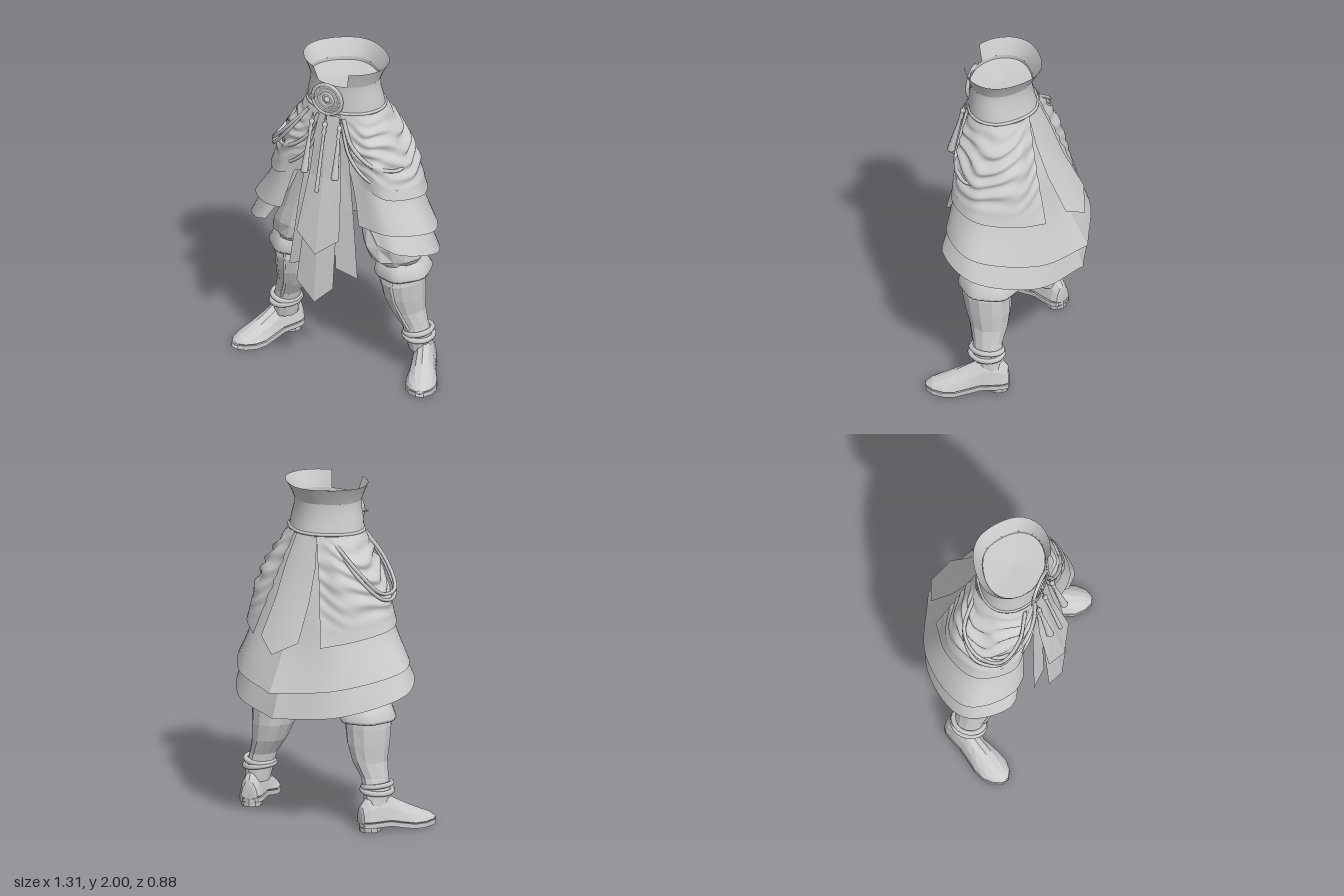
import * as THREE from 'three';

const smooth = new THREE.MeshStandardMaterial({ color: 0xcccccc, side: THREE.DoubleSide });
const faceted = new THREE.MeshStandardMaterial({ color: 0xcccccc, side: THREE.DoubleSide, flatShading: true });
const V = (x, y, z) => new THREE.Vector3(x, y, z);

function add(parent, name, geometry, material = smooth) {
  const mesh = new THREE.Mesh(geometry, material);
  mesh.name = name;
  parent.add(mesh);
  return mesh;
}

// Skin a grid of points (rows of equal length); closed rows wrap round
function skin(rows, closed = false) {
  const n = rows[0].length, index = [];
  for (let j = 0; j < rows.length - 1; j++)
    for (let i = 0; i < (closed ? n : n - 1); i++) {
      const a = j * n + i, b = j * n + (i + 1) % n;
      index.push(a, b, a + n, b, b + n, a + n);
    }
  const g = new THREE.BufferGeometry().setFromPoints(rows.flat());
  g.setIndex(index);
  g.computeVertexNormals();
  return g;
}

// Smooth cloth through rails that run from front to back, listed top to bottom;
// side mirrors and widens, start trims the front edge
function cloth(rails, side, start, nu, nv, fold = () => 0) {
  const curves = rails.map(r => new THREE.CatmullRomCurve3(r.map(([x, y, z]) => V(x * side, y, z))));
  const cols = [];
  for (let i = 0; i <= nu; i++) {
    const u = start + (1 - start) * i / nu;
    const down = new THREE.CatmullRomCurve3(curves.map(c => c.getPoint(u)));
    cols.push(Array.from({ length: nv + 1 }, (_, j) => {
      const v = j / nv, p = down.getPoint(v);
      return p.addScaledVector(V(p.x, 0, p.z - 0.09).normalize(), fold(u, v));
    }));
  }
  return skin(cols);
}

// Stack of elliptical rings [cx, y, cz, rx, rz] with an optional radial wave
function rings(list, n, wave = () => 0) {
  return skin(list.map(([cx, y, cz, rx, rz], j) => Array.from({ length: n }, (_, i) => {
    const a = i / n * Math.PI * 2, k = 1 + wave(a, j);
    return V(cx + rx * k * Math.sin(a), y, cz + rz * k * Math.cos(a));
  })), true);
}

const strip = rows => skin(rows.map(r => r.map(p => V(...p))));
const rope = (pts, r, side = 1) => new THREE.TubeGeometry(
  new THREE.CatmullRomCurve3(pts.map(([x, y, z]) => V(x * side, y, z))), 32, r, 6);

// Waist cross-section: rounded at the front, slightly pointed at the back
function waistRow([y, rx, front, back], from, to, n) {
  const mid = (front + back) / 2 + 0.01;
  return Array.from({ length: n + 1 }, (_, i) => {
    const a = from + (to - from) * i / n, c = Math.cos(a);
    const z = c > 0 ? mid + (front - mid) * c : mid + (mid - back) * (0.86 * c - 0.14 * Math.pow(-c, 6));
    return V(0.006 + rx * Math.sin(a), y, z);
  });
}

function buildWaist(root) {
  const g = new THREE.Group();
  g.name = 'waist';
  root.add(g);
  const T = Math.PI * 2, gap = 0.46;
  const low = [[1.71, 0.24, 0.285, -0.115], [1.78, 0.232, 0.282, -0.095], [1.85, 0.214, 0.276, -0.082], [1.9, 0.214, 0.28, -0.085]];
  const high = [[1.9, 0.214, 0.28, -0.085], [1.95, 0.234, 0.295, -0.11], [2, 0.262, 0.31, -0.14]];
  add(g, 'belt', skin(low.map(r => waistRow(r, 0, T, 36))));
  add(g, 'openCollar', skin(high.map(r => waistRow(r, gap, T - gap, 32))));
  const rim = waistRow([1.88, 0.212, 0.277, -0.082], 0, T, 36);
  add(g, 'innerCap', skin([rim, rim.map(() => V(0, 1.865, 0.1))]), faceted);
  const edge = waistRow([1.725, 0.239, 0.284, -0.112], 0, T, 36).slice(0, -1);
  add(g, 'beltTrim', new THREE.TubeGeometry(new THREE.CatmullRomCurve3(edge, true), 60, 0.01, 6, true));

  // Round buckle with a pin
  const buckle = new THREE.Group();
  buckle.name = 'buckle';
  buckle.position.set(-0.02, 1.8, 0.285);
  g.add(buckle);
  for (const [R, r] of [[0.095, 0.012], [0.068, 0.008], [0.04, 0.012]])
    add(buckle, 'buckleRing', new THREE.TorusGeometry(R, r, 6, 28));
  add(buckle, 'bucklePlate', new THREE.CylinderGeometry(0.09, 0.09, 0.008, 28).rotateX(Math.PI / 2));
  add(buckle, 'buckleStud', new THREE.SphereGeometry(0.02, 10, 8));
  add(buckle, 'bucklePin', new THREE.ConeGeometry(0.02, 0.06, 6).rotateZ(Math.PI / 2).translate(-0.11, 0, 0));
}

function buildSkirt(root) {
  const g = new THREE.Group();
  g.name = 'skirt';
  root.add(g);
  const waist = [[0.06, 1.71, 0.27], [0.17, 1.71, 0.22], [0.225, 1.71, 0.085], [0.165, 1.71, -0.05], [0, 1.71, -0.105]];
  const drape = [
    [[0.06, 1.71, 0.275], [0.17, 1.71, 0.23], [0.235, 1.72, 0.09], [0.175, 1.72, -0.05], [0.08, 1.72, -0.105]],
    [[0.13, 1.5, 0.285], [0.27, 1.48, 0.265], [0.39, 1.45, 0.08], [0.32, 1.45, -0.12], [0.16, 1.45, -0.18]],
    [[0.2, 1.28, 0.28], [0.36, 1.22, 0.27], [0.49, 1.19, 0.08], [0.41, 1.15, -0.14], [0.25, 1.11, -0.28]]];
  const middle = [waist,
    [[0.12, 1.4, 0.28], [0.27, 1.38, 0.25], [0.39, 1.36, 0.07], [0.28, 1.36, -0.13], [0, 1.36, -0.225]],
    [[0.17, 1.18, 0.285], [0.34, 1.17, 0.27], [0.46, 1.15, 0.07], [0.33, 1.12, -0.2], [0, 1.09, -0.305]],
    [[0.2, 1.02, 0.3], [0.4, 1, 0.29], [0.57, 0.96, 0.07], [0.37, 0.88, -0.28], [0, 0.83, -0.44]]];
  const lower = [waist.map(([x, y, z]) => [x * 0.95, y, z * 0.95]),
    [[0.16, 1.2, 0.26], [0.32, 1.18, 0.25], [0.44, 1.15, 0.07], [0.3, 1.12, -0.17], [0, 1.1, -0.27]],
    [[0.33, 0.93, 0.31], [0.46, 0.89, 0.29], [0.59, 0.82, 0.06], [0.38, 0.72, -0.27], [0, 0.67, -0.41]]];
  const folds = (u, v) => {
    const fade = Math.sin(Math.PI * Math.min(1, v * 1.1)) * (0.35 + 0.65 * Math.sin(Math.PI * u));
    const s = Math.sin(2 * Math.PI * (6.2 * v - 1.3 * Math.sin(Math.PI * u) + 0.25 * Math.sin(15 * u + 7 * v)));
    return fade * (0.014 * s + 0.009 * Math.sin(23 * u + 13 * v) * Math.sin(17 * v - 9 * u));
  };
  for (const s of [1, -1]) {
    const wide = s > 0 ? 0.975 : -1.045, start = s > 0 ? 0 : 0.12;
    add(g, 'gatheredDrape', cloth(drape, s, 0, 36, 48, folds));
    add(g, 'middleTier', cloth(middle, wide, start, 28, 18));
    add(g, 'lowerTier', cloth(lower, wide, start, 28, 14));
    // Rolled swags sweeping from the buckle and tucking in at the hip
    add(g, 'upperSwag', rope([[0.08, 1.69, 0.275], [0.15, 1.53, 0.295], [0.28, 1.42, 0.275], [0.39, 1.38, 0.17], [0.38, 1.4, 0.06]], 0.012, s));
    add(g, 'lowerSwag', rope([[0.07, 1.66, 0.275], [0.13, 1.46, 0.29], [0.25, 1.33, 0.285], [0.4, 1.27, 0.2], [0.42, 1.27, 0.08]], 0.01, s));
  }
  // Loose cord loops on one hip
  for (const d of [0, 0.035])
    add(g, 'hipCord', rope([[-0.16, 1.69, 0.25], [-0.3, 1.53 - d, 0.27], [-0.42, 1.4 - d, 0.2], [-0.43 - d / 2, 1.4 - d, 0.06], [-0.36, 1.53 - d, -0.05], [-0.17, 1.69, -0.06]], 0.011));

  // Layered hanging panels at the front
  add(g, 'frontPanel', strip([
    [[-0.08, 1.7, 0.28], [-0.02, 1.7, 0.29], [0.06, 1.7, 0.28]],
    [[-0.12, 1.3, 0.32], [-0.02, 1.3, 0.34], [0.09, 1.3, 0.32]],
    [[-0.16, 0.95, 0.4], [-0.02, 0.84, 0.435], [0.12, 0.95, 0.4]]]), faceted);
  add(g, 'longPanel', strip([
    [[-0.08, 1.6, 0.27], [-0.02, 1.6, 0.28], [0.05, 1.6, 0.27]],
    [[-0.13, 1, 0.36], [-0.03, 1, 0.38], [0.08, 1, 0.36]],
    [[-0.16, 0.62, 0.4], [-0.03, 0.515, 0.425], [0.08, 0.62, 0.4]]]), faceted);
  for (const [a, b, y] of [[-0.24, -0.12, 0.68], [0.21, 0.07, 0.69]])
    add(g, 'sideStrip', strip([
      [[a * 0.5, 1.6, 0.275], [b * 0.2, 1.6, 0.275]],
      [[a * 0.8, 1.1, 0.315], [b * 0.7, 1.1, 0.325]],
      [[a, y, 0.34], [b, y + 0.04, 0.35]]]), faceted);

  // Pointed sash at the back, flaring away towards its tip
  add(g, 'backSash', strip([[1.71, 0.08, -0.1, 0.012], [1.55, 0.115, -0.155, 0.02], [1.35, 0.13, -0.235, 0.025], [1.14, 0.145, -0.355, 0.065]]
    .map(([y, w, z, ridge], j) => [[-w, y, z], [0, j === 3 ? 1.06 : y, z - ridge], [w * 0.9, y, z]])));

  // Three tassels
  for (const [x, len, r] of [[-0.105, 0.37, 0.025], [-0.02, 0.47, 0.014], [0.075, 0.37, 0.025]]) {
    const t = new THREE.Group();
    t.name = 'tassel';
    t.position.set(x, 1.7, 0.3);
    t.rotation.set(-0.24, 0, x * 0.3);
    g.add(t);
    const profile = [[0.004, 0], [0.006, -0.04], [0.016, -0.05], [0.016, -0.065], [0.008, -0.075], [0.015, -0.1], [0.009, -0.12], [r * 0.9, -len + 0.02], [r, -len + 0.01], [r * 0.8, -len], [0, -len]];
    add(t, 'tasselBody', new THREE.LatheGeometry(profile.map(p => new THREE.Vector2(...p)).reverse(), 8));
  }
}

function buildLeg(root) {
  const g = new THREE.Group();
  g.name = 'leg';
  root.add(g);
  // Baggy trouser leg gathered into a ruffled cuff
  add(g, 'trouserLeg', rings([[0.33, 0.72, 0.05, 0.12, 0.13], [0.31, 0.775, 0.06, 0.165, 0.175], [0.29, 0.86, 0.07, 0.165, 0.18],
    [0.265, 0.98, 0.07, 0.145, 0.17], [0.2, 1.2, 0.07, 0.15, 0.165], [0.13, 1.45, 0.08, 0.13, 0.155], [0.1, 1.7, 0.08, 0.1, 0.14]],
    14, (a, j) => 0.06 * Math.sin(5 * a + j * 2.1)), faceted);
  add(g, 'kneeCuff', rings([[0.335, 0.745, 0.045, 0.125, 0.14], [0.34, 0.71, 0.04, 0.145, 0.165], [0.348, 0.66, 0.035, 0.165, 0.18],
    [0.348, 0.64, 0.035, 0.155, 0.17], [0.345, 0.665, 0.04, 0.12, 0.135]], 28, a => 0.035 * Math.sin(6 * a)));
  // Boot shaft
  add(g, 'bootShaft', rings([[0.34, 0.72, 0.045, 0.12, 0.13], [0.345, 0.6, 0.05, 0.13, 0.147], [0.355, 0.5, 0.04, 0.12, 0.138],
    [0.375, 0.4, 0.027, 0.096, 0.115], [0.415, 0.31, 0.02, 0.075, 0.09], [0.437, 0.22, 0.01, 0.075, 0.09], [0.445, 0.14, 0, 0.07, 0.085]],
    12, (a, j) => 0.025 * Math.sin(3 * a + j)), faceted);
  add(g, 'shinSeam', rope([[0.35, 0.66, 0.193], [0.355, 0.55, 0.187], [0.375, 0.42, 0.145], [0.42, 0.29, 0.105]], 0.009));
  // Ankle wraps
  for (const [y, r, tilt] of [[0.262, 0.085, 0.14], [0.232, 0.09, -0.1]]) {
    const m = add(g, 'ankleWrap', new THREE.TorusGeometry(r, 0.016, 6, 20).rotateX(Math.PI / 2).scale(0.93, 1, 1.08));
    m.position.set(0.437, y, 0.015);
    m.rotation.z = tilt;
  }
  // Splayed shoe: sections [distance, half width, top, base]
  const foot = new THREE.Group();
  foot.name = 'foot';
  foot.position.set(0.45, 0, -0.035);
  foot.rotation.y = 0.42;
  g.add(foot);
  const secs = [[-0.088, 0.035, 0.13, 0.045], [-0.082, 0.05, 0.16, 0.045], [-0.05, 0.066, 0.2, 0.045], [0.01, 0.07, 0.225, 0.045], [0.08, 0.07, 0.21, 0.045],
    [0.15, 0.078, 0.17, 0.03], [0.23, 0.09, 0.128, 0.015], [0.3, 0.088, 0.095, 0.015], [0.36, 0.062, 0.07, 0.018], [0.395, 0.022, 0.045, 0.02]];
  const upper = secs.map(([z, w, top, base]) => Array.from({ length: 12 }, (_, i) => {
    const a = i / 12 * Math.PI * 2, s = Math.sin(a);
    return V(w * Math.cos(a) * (s > 0 ? 1 - 0.2 * s : 1), s > 0 ? base + 0.02 + (top - base - 0.02) * s : base + 0.02 * (1 + s), z);
  }));
  const cap = (row, z) => row.map(() => V(0, (row[3].y + row[9].y) / 2, z));
  add(foot, 'shoeUpper', skin([cap(upper[0], -0.09), ...upper, cap(upper[9], 0.4)], true), faceted);
  // Sole follows the arch, with a separate heel block
  add(foot, 'sole', skin(secs.map(([z, w, , base]) => [[-1, 1], [1, 1], [1, 0], [-1, 0]].map(([sx, up]) =>
    V(sx * (w + 0.002), up ? base + 0.012 : Math.max(0, base - 0.016), z))), true), faceted);
  const heel = add(foot, 'heel', new THREE.CylinderGeometry(0.066, 0.062, 0.05, 10), faceted);
  heel.position.set(0, 0.025, -0.025);
}

export function createModel() {
  const root = new THREE.Group();
  root.name = 'legsAndSkirt';
  buildWaist(root);
  buildSkirt(root);
  const left = new THREE.Group(), right = new THREE.Group();
  left.name = 'leftLeg';
  right.name = 'rightLeg';
  buildLeg(left);
  buildLeg(right);
  right.scale.x = -1;
  root.add(left, right);
  return root;
}
